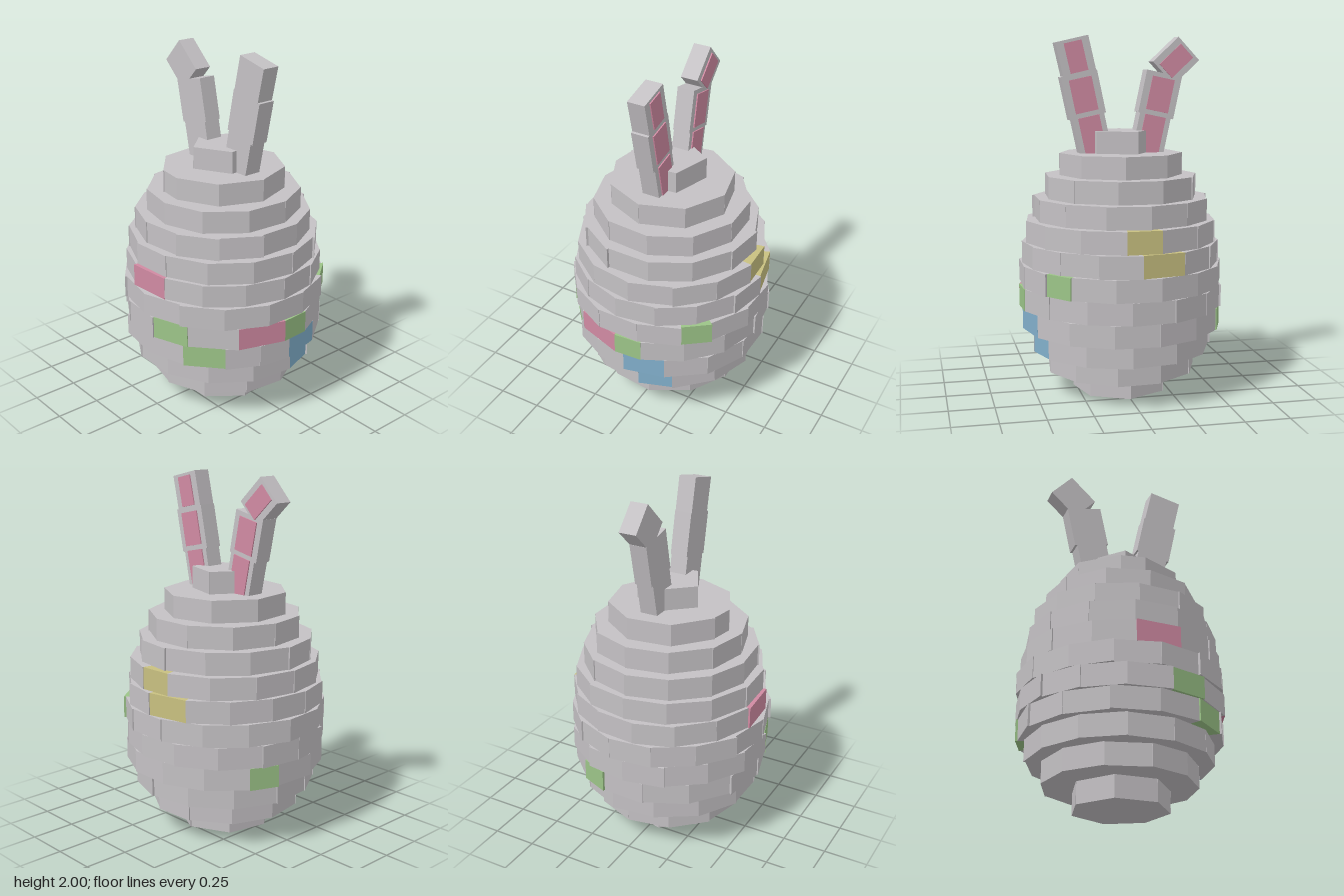
import * as THREE from 'three';
import { mergeGeometries } from 'three/addons/utils/BufferGeometryUtils.js';

const material = (name, color) => {
  const m = new THREE.MeshStandardMaterial({ color });
  m.name = name;
  return m;
};

// Course height of the brick egg
const H = 1.477 / 12;
const rad = THREE.MathUtils.degToRad;

// Radius, then marked bricks [from, to, colour] in degrees from the front towards +x
const courses = [
  [0.27, [39, 90, 'grey']],
  [0.425, [-22, 10.5, 'grey']],
  [0.512, [7, 29, 'blue']],
  [0.56, [-63, -39, 'green'], [0, 24.5, 'blue'], [150, 167, 'green']],
  [0.57, [-82, -60, 'green'], [-32, -4.5, 'pink'], [-4.5, 11.5, 'green']],
  [0.573, [34, 51, 'green']],
  [0.555, [-101, -75, 'pink'], [90, 115, 'yellow']],
  [0.535, [81.5, 102, 'yellow']],
  [0.495, [-15, 14, 'grey']],
  [0.433, [-22, 11, 'grey']],
  [0.345, [-109, -86, 'grey']],
  [0.185, [-25, 35, 'grey']],
];

export function createModel() {
  const model = new THREE.Group();
  model.name = 'brickEggWithEars';
  const colours = {
    grey: material('stone grey', 0xc4c1c4),
    pink: material('soft pink', 0xd08aa2),
    yellow: material('soft yellow', 0xc8c080),
    green: material('soft green', 0x9cc488),
    blue: material('soft blue', 0x82b0cc),
  };

  let seed = 7;
  const random = () => (seed = (seed * 16807) % 2147483647) / 2147483647;

  // One flat-faced brick, a wedge reaching to the centre
  const brick = (r, from, to, y) => {
    const point = (deg, k) => new THREE.Vector2(r * k * Math.sin(rad(deg)), -r * k * Math.cos(rad(deg)));
    const shape = new THREE.Shape([
      new THREE.Vector2(0, 0),
      point(from, 1 + (random() - 0.5) * 0.03),
      point(to, 1 + (random() - 0.5) * 0.03),
    ]);
    return new THREE.ExtrudeGeometry(shape, { depth: H, bevelEnabled: false })
      .rotateX(-Math.PI / 2)
      .translate(0, y, 0);
  };

  // Courses: marked bricks, with the gaps between them filled evenly in grey
  courses.forEach(([r, ...marked], i) => {
    const y = i * H;
    const plain = [];
    const step = 2 * THREE.MathUtils.radToDeg(Math.asin(0.121 / r));
    marked.forEach(([from, to, colour], k) => {
      const geometry = brick(r, from, to, y);
      if (colour === 'grey') plain.push(geometry);
      else {
        const mesh = new THREE.Mesh(geometry, colours[colour]);
        mesh.name = colour + 'Brick';
        model.add(mesh);
      }
      const next = k + 1 < marked.length ? marked[k + 1][0] : marked[0][0] + 360;
      const n = Math.round((next - to) / step);
      for (let j = 0; j < n; j++) {
        const at = (q) => to + ((next - to) * q) / n;
        plain.push(brick(r, at(j), at(j + 1), y));
      }
    });
    const course = new THREE.Mesh(mergeGeometries(plain), colours.grey);
    course.name = 'brickCourse' + (i + 1);
    model.add(course);
  });

  // Ear segment: a grey block with a thin pink panel on its +x face
  const earSegment = (ear, name, z, y, width, height, tilt, panelW, panelH) => {
    const group = new THREE.Group();
    group.name = name;
    const block = new THREE.Mesh(new THREE.BoxGeometry(0.1, height, width), colours.grey);
    block.name = 'earBlock';
    const panel = new THREE.Mesh(new THREE.BoxGeometry(0.008, panelH, panelW), colours.pink);
    panel.name = 'earPanel';
    panel.position.x = 0.053;
    group.add(block, panel);
    group.position.set(0.0025, y, z);
    group.rotation.x = rad(tilt);
    ear.add(group);
  };

  // Two ears; the back one has a folded tip
  for (const s of [1, -1]) {
    const ear = new THREE.Group();
    ear.name = s > 0 ? 'frontEar' : 'backEar';
    earSegment(ear, 'earBase', s * 0.165, 1.44, 0.18, 0.25, s * 12, 0.12, 0.24);
    earSegment(ear, 'earMiddle', s * 0.217, 1.675, 0.205, 0.24, s * 12, 0.128, 0.188);
    if (s > 0) earSegment(ear, 'earTip', 0.258, 1.882, 0.186, 0.2, 13, 0.1, 0.168);
    else earSegment(ear, 'foldedEarTip', -0.308, 1.861, 0.176, 0.2, -47, 0.104, 0.165);
    model.add(ear);
  }
  return model;
}
